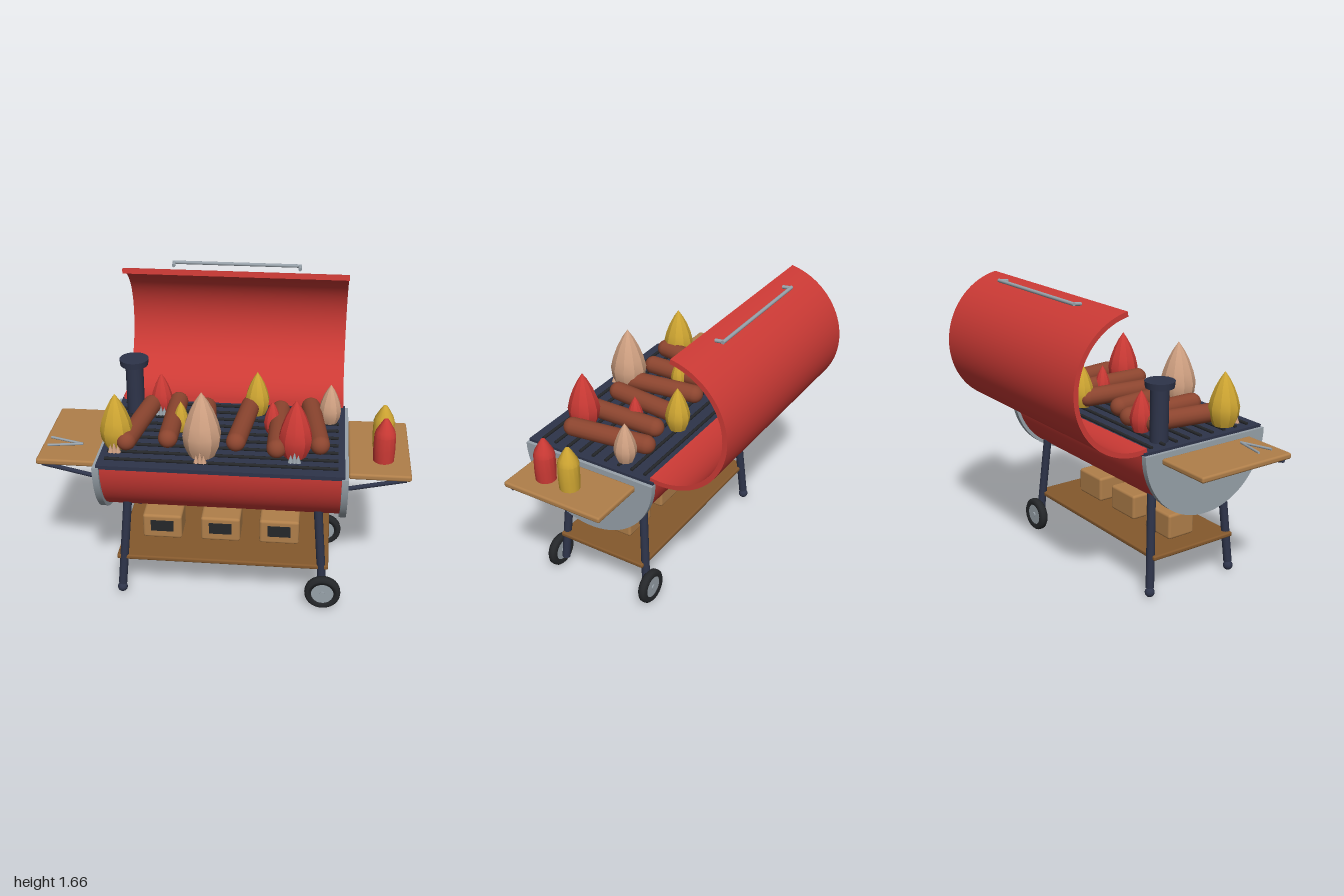
import * as THREE from 'three';
import { toCreasedNormals } from 'three/addons/utils/BufferGeometryUtils.js';
import { RoundedBoxGeometry } from 'three/addons/geometries/RoundedBoxGeometry.js';

const paint = (name, color) => {
  const m = new THREE.MeshStandardMaterial({ color });
  m.name = name;
  return m;
};
const V = (x, y, z) => new THREE.Vector3(x, y, z);

export function createModel() {
  const model = new THREE.Group();
  model.name = 'barbecueGrill';

  const red = paint('red enamel', 0xcc3a35);
  const navy = paint('dark iron', 0x2e344a);
  const steel = paint('steel', 0x98a2aa);
  const wood = paint('light wood', 0xb07f4a);
  const brown = paint('dark wood', 0x85592d);
  const black = paint('black', 0x25272a);
  const sausageBrown = paint('sausage brown', 0x8c452f);
  const yellow = paint('yellow', 0xcfa632);
  const tan = paint('tan', 0xd0a182);

  const add = (name, geo, mat, x = 0, y = 0, z = 0) => {
    const mesh = new THREE.Mesh(geo, mat);
    mesh.name = name;
    mesh.position.set(x, y, z);
    model.add(mesh);
    return mesh;
  };

  // Round bar between two points
  const rod = (name, a, b, r, mat, sides = 12) => {
    const dir = b.clone().sub(a);
    const mesh = add(name, new THREE.CylinderGeometry(r, r, dir.length(), sides), mat);
    mesh.position.copy(a).lerp(b, 0.5);
    mesh.quaternion.setFromUnitVectors(V(0, 1, 0), dir.normalize());
    return mesh;
  };

  // Side profile drawn in (z, y), extruded along x and centred
  const sideExtrude = (shape, width) => {
    const geo = new THREE.ExtrudeGeometry(shape, { depth: width, bevelEnabled: false, curveSegments: 36 });
    geo.translate(0, 0, -width / 2).rotateY(-Math.PI / 2);
    return toCreasedNormals(geo, 0.5);
  };
  const halfDisc = (r) => {
    const s = new THREE.Shape();
    s.absarc(0, 0, r, Math.PI, Math.PI * 2, false);
    s.closePath();
    return s;
  };

  const ZC = 0.21; // middle of the grill body

  // Barrel and its end plates
  add('barrel', sideExtrude(halfDisc(0.39), 1.28), red, 0, 0.885, ZC);
  for (const s of [-1, 1]) add('endPlate', sideExtrude(halfDisc(0.41), 0.035), steel, s * 0.652, 0.885, ZC);

  // Grate: plate with raised bars
  add('grillPlate', new THREE.BoxGeometry(1.3, 0.022, 0.81), navy, 0, 0.889, ZC);
  for (let i = 0; i < 9; i++) {
    const z = -0.12 + i * 0.083;
    rod('grateBar', V(-0.615, 0.906, z), V(0.615, 0.906, z), 0.009, black, 8);
  }

  // Open lid
  const lid = new THREE.Shape();
  const a0 = THREE.MathUtils.degToRad(100), a1 = a0 + Math.PI;
  lid.absarc(0, 0, 0.385, a0, a1, false);
  lid.absarc(0, 0, 0.358, a1, a0, true);
  lid.closePath();
  add('lid', sideExtrude(lid, 1.28), red, 0, 1.275, -0.235);

  // Lid handle
  rod('handleBar', V(-0.37, 1.657, -0.432), V(0.37, 1.657, -0.432), 0.01, steel);
  for (const s of [-1, 1]) rod('handleArm', V(s * 0.36, 1.657, -0.432), V(s * 0.36, 1.652, -0.385), 0.01, steel);

  // Chimney
  add('chimney', new THREE.CylinderGeometry(0.05, 0.05, 0.32, 20), navy, -0.54, 1.05, -0.015);
  add('chimneyCap', new THREE.CylinderGeometry(0.082, 0.078, 0.036, 20), navy, -0.54, 1.216, -0.015);

  // Side tables and their braces
  for (const s of [-1, 1]) {
    add('sideTable', new RoundedBoxGeometry(0.328, 0.034, 0.61, 2, 0.012), wood, s * 0.835, 0.843, 0.205);
    rod('tableBrace', V(s * 0.975, 0.817, 0.473), V(s * 0.675, 0.75, 0.473), 0.012, navy);
  }

  // Legs: feet on one side, wheels on the other
  const wheelGeo = new THREE.LatheGeometry(
    [[0.062, -0.02], [0.085, -0.027], [0.098, -0.015], [0.1, 0], [0.098, 0.015], [0.085, 0.027], [0.062, 0.02], [0.062, -0.02]]
      .map(([r, y]) => new THREE.Vector2(r, y)), 32).rotateX(Math.PI / 2);
  for (const sx of [-1, 1]) for (const sz of [-1, 1]) {
    rod('leg', V(sx * 0.52, 0.6, ZC - 0.005 + sz * 0.247), V(sx * 0.565, 0.065, ZC - 0.005 + sz * 0.284), 0.024, navy);
    const zFoot = ZC - 0.005 + sz * 0.286;
    if (sx < 0) {
      add('foot', new THREE.SphereGeometry(0.028, 16, 12), navy, -0.567, 0.038, zFoot);
    } else {
      const z = ZC + sz * 0.316;
      add('tyre', wheelGeo, black, 0.564, 0.104, z);
      add('wheelHub', new THREE.CylinderGeometry(0.064, 0.064, 0.036, 24).rotateX(Math.PI / 2), steel, 0.564, 0.104, z);
      add('axleCap', new THREE.CylinderGeometry(0.015, 0.015, 0.05, 12).rotateX(Math.PI / 2), steel, 0.564, 0.104, z);
    }
  }

  // Lower shelf with three crates
  add('lowerShelf', new RoundedBoxGeometry(1.18, 0.028, 0.565, 2, 0.01), brown, 0, 0.242, 0.212);
  for (const x of [-0.36, -0.027, 0.307]) {
    add('crate', new RoundedBoxGeometry(0.225, 0.15, 0.18, 2, 0.016), wood, x, 0.331, 0.215);
    add('crateLabel', new THREE.BoxGeometry(0.13, 0.068, 0.008), black, x, 0.34, 0.306);
  }

  // Sausages: back x, front x, back z
  const sausageGeo = new THREE.CapsuleGeometry(0.053, 0.44, 8, 16).rotateX(Math.PI / 2);
  for (const [xb, xf, zb] of [[-0.44, -0.51, -0.03], [-0.294, -0.294, -0.08], [-0.127, -0.075, -0.025],
    [0.118, 0.07, -0.075], [0.288, 0.288, -0.025], [0.455, 0.515, -0.08]]) {
    const m = add('sausage', sausageGeo, sausageBrown, (xb + xf) / 2, 0.972, zb + 0.273);
    m.rotation.y = Math.atan2(xf - xb, 0.44);
  }

  // Flames: faceted teardrops, the larger ones with a small ember in front
  const flameProfile = [[0, 0], [0.68, 0], [0.93, 0.17], [1, 0.34], [0.85, 0.52], [0.6, 0.71], [0.33, 0.86], [0, 1]];
  const flame = (name, x, z, r, top, mat, ember) => {
    const base = 0.915;
    const pts = flameProfile.map(([pr, py]) => new THREE.Vector2(pr * r, py * (top - base)));
    add(name, toCreasedNormals(new THREE.LatheGeometry(pts, 10), 0.35), mat, x, base, z);
    if (ember) {
      for (const k of [-1, 0, 1]) {
        const h = k ? 0.045 : 0.065;
        add('ember', new THREE.ConeGeometry(0.016, h, 6), ember, x + k * 0.02, base + h / 2, z + r * 0.9);
      }
    }
  };
  flame('yellowFlame', -0.57, 0.41, 0.088, 1.22, yellow, tan);
  flame('redFlame', -0.39, -0.02, 0.062, 1.145, red, steel);
  flame('yellowFlame', -0.25, 0.21, 0.045, 1.09, yellow);
  flame('tanFlame', -0.105, 0.465, 0.104, 1.278, tan, tan);
  flame('yellowFlame', 0.152, -0.035, 0.07, 1.17, yellow);
  flame('redFlame', 0.25, 0.18, 0.047, 1.1, red);
  flame('redFlame', 0.385, 0.43, 0.09, 1.237, red, steel);
  flame('tanFlame', 0.563, 0.033, 0.063, 1.143, tan);

  // Sauce bottles
  const bottlePts = [[0, 0], [0.056, 0], [0.059, 0.06], [0.058, 0.15], [0.05, 0.178], [0.024, 0.225], [0.012, 0.244], [0, 0.247]];
  const bottleGeo = toCreasedNormals(
    new THREE.LatheGeometry(bottlePts.map(([r, y]) => new THREE.Vector2(r, y)), 14), 0.5);
  add('redBottle', bottleGeo, red, 0.855, 0.859, 0.34);
  add('yellowBottle', bottleGeo, yellow, 0.855, 0.859, 0.185);

  // Tongs
  for (const s of [-1, 1]) {
    rod('tongArm', V(-0.955, 0.89, 0.358 + s * 0.045), V(-0.77, 0.882, 0.358), 0.007, steel, 8);
  }

  return model;
}
